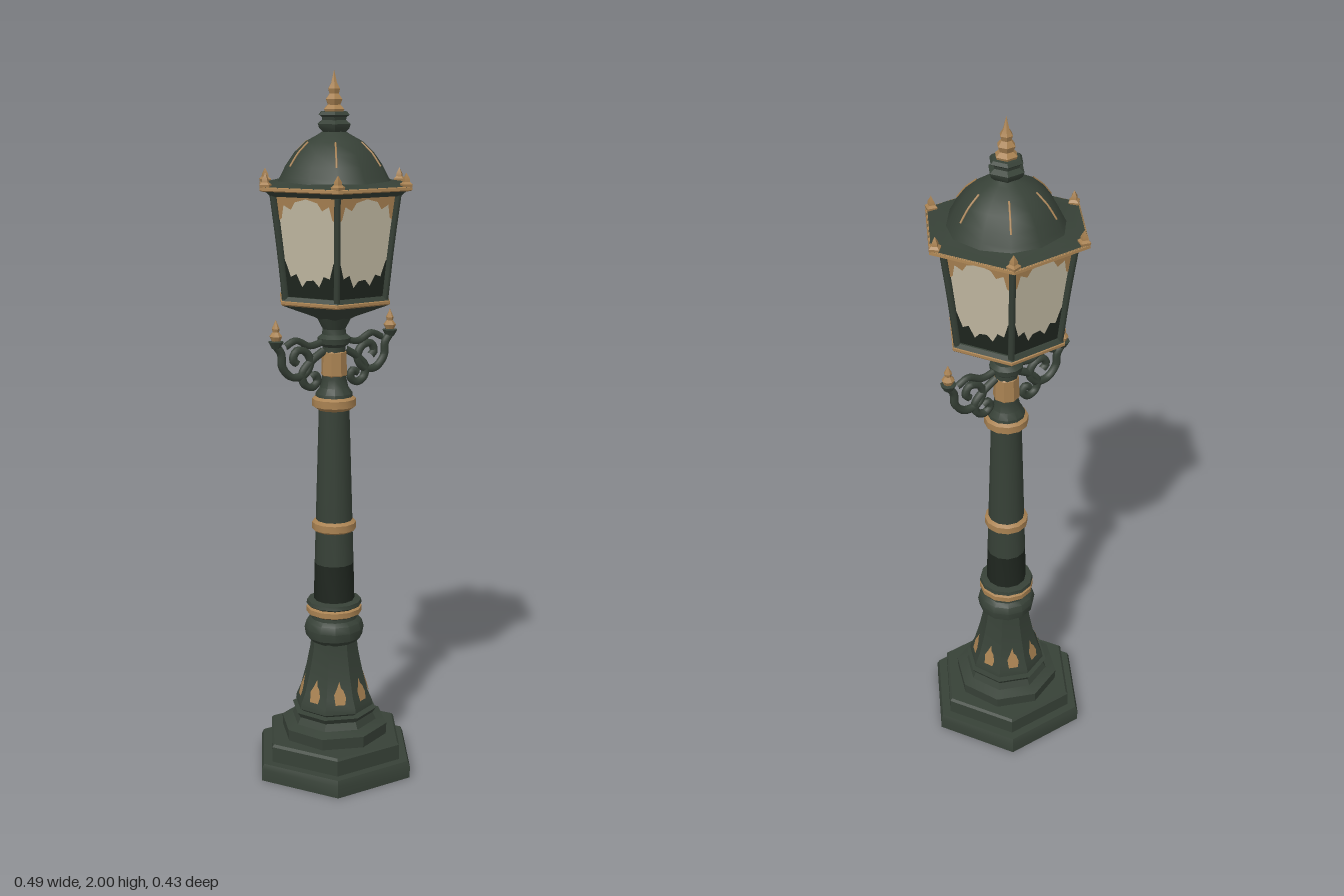
import * as THREE from 'three';
import { toCreasedNormals } from 'three/addons/utils/BufferGeometryUtils.js';

const mat = (name, color, side = THREE.FrontSide) => {
  const m = new THREE.MeshStandardMaterial({ color, side });
  m.name = name;
  return m;
};

export function createModel() {
  const root = new THREE.Group();
  root.name = 'streetLamp';
  const green = mat('green iron', 0x374137);
  const dark = mat('dark iron', 0x1f261f, THREE.DoubleSide);
  const gold = mat('old gold', 0xa98252, THREE.DoubleSide);
  const glass = mat('milky glass', 0xc4bba4, THREE.DoubleSide);

  const add = (name, geo, material, parent = root) => {
    const m = new THREE.Mesh(geo, material);
    m.name = name;
    parent.add(m);
    return m;
  };
  // Turned part from [radius, height] pairs, with a corner on the x axis
  const turned = (name, pts, sides, material, parent = root) => {
    const g = new THREE.LatheGeometry(pts.map(([r, y]) => new THREE.Vector2(r, y)), sides, Math.PI / 2);
    return add(name, toCreasedNormals(g, 0.6), material, parent);
  };
  const ring = (name, y, r, h, sides = 12) => turned(name, [
    [r - 0.015, y - h / 2], [r, y - h / 4], [r, y + h / 4], [r - 0.015, y + h / 2]], sides, gold);
  const tube = (name, pts, r, segs, material, parent = root) => add(name, new THREE.TubeGeometry(
    new THREE.CatmullRomCurve3(pts.map(p => new THREE.Vector3(...p))), segs, r, 6), material, parent);
  const polar = (r, y, a) => [r * Math.cos(a), y, r * Math.sin(a)];

  // Stepped base
  turned('lowerStep', [[0, 0], [0.247, 0], [0.247, 0.035], [0.24, 0.05], [0, 0.05]], 6, green);
  turned('upperStep', [[0.212, 0.05], [0.212, 0.095], [0.205, 0.102], [0, 0.102]], 6, green);
  turned('plinth', [[0.155, 0.1], [0.157, 0.135], [0.125, 0.145], [0.115, 0.165], [0.125, 0.18], [0, 0.185]], 8, green);

  // Bell shaped foot with leaf ornaments on its eight faces
  turned('bellFoot', [[0.1, 0.18], [0.115, 0.19], [0.113, 0.205], [0.1, 0.235], [0.083, 0.3],
    [0.071, 0.36], [0.067, 0.395]], 8, green);
  const leaf = new THREE.Shape([[-0.014, 0], [0.014, 0], [0.018, 0.02], [0.011, 0.042], [0.004, 0.05],
    [0, 0.068], [-0.008, 0.048], [-0.017, 0.03]].map(p => new THREE.Vector2(...p)));
  for (let i = 0; i < 8; i++) {
    const pivot = new THREE.Group();
    pivot.name = 'footLeafGroup';
    pivot.rotation.y = Math.PI / 8 + i * Math.PI / 4;
    root.add(pivot);
    const m = add('footLeaf', new THREE.ShapeGeometry(leaf), gold, pivot);
    m.position.set(0, 0.218, 0.102);
    m.rotation.x = -0.26;
  }
  turned('footCollar', [[0.066, 0.385], [0.082, 0.4], [0.086, 0.425], [0.08, 0.445], [0.068, 0.455],
    [0.067, 0.465], [0.076, 0.475], [0.07, 0.49], [0.08, 0.497], [0.078, 0.508], [0.055, 0.512]], 12, green);
  ring('collarRing', 0.48, 0.08, 0.03);

  // Tapered column
  turned('columnShade', [[0.059, 0.5], [0.056, 0.62]], 12, dark);
  turned('column', [[0.056, 0.62], [0.051, 0.8], [0.043, 1.08]], 12, green);
  ring('middleRing', 0.732, 0.063, 0.04);
  ring('upperRing', 1.092, 0.062, 0.042);
  turned('capital', [[0.053, 1.1], [0.052, 1.118], [0.04, 1.135], [0.034, 1.16], [0.032, 1.25],
    [0.045, 1.26], [0.047, 1.275], [0.034, 1.285], [0.032, 1.3], [0.04, 1.315], [0.05, 1.335]], 12, green);
  turned('neckPanels', [[0.032, 1.165], [0.037, 1.17], [0.035, 1.235], [0.03, 1.24]], 8, gold);

  // Scroll brackets on both sides
  for (const s of [1, -1]) {
    const b = new THREE.Group();
    b.name = s > 0 ? 'leftBracket' : 'rightBracket';
    root.add(b);
    const path = p => p.map(([x, y]) => [s * x, y, 0]);
    tube('outerScroll', path([[0.122, 1.212], [0.134, 1.224], [0.122, 1.248], [0.094, 1.243], [0.078, 1.213],
      [0.097, 1.18], [0.138, 1.176], [0.168, 1.207], [0.172, 1.245], [0.188, 1.268]]), 0.0115, 40, green, b);
    tube('innerScroll', path([[0.078, 1.168], [0.063, 1.176], [0.054, 1.158], [0.073, 1.141],
      [0.098, 1.152], [0.104, 1.183], [0.078, 1.213], [0.035, 1.24]]), 0.0115, 36, green, b);
    tube('topArm', path([[0.03, 1.268], [0.08, 1.258], [0.125, 1.277], [0.16, 1.262]]), 0.01, 16, green, b);
    const cup = turned('bracketCup', [[0, 1.258], [0.012, 1.262], [0.022, 1.28], [0, 1.285]], 8, green, b);
    const tip = turned('bracketFinial', [[0.012, 1.282], [0.018, 1.295], [0.009, 1.307],
      [0.011, 1.316], [0, 1.34]], 8, gold, b);
    cup.position.x = tip.position.x = s * 0.188;
  }

  // Lantern body
  const y0 = 1.392, y1 = 1.685;
  const radius = y => 0.156 + (y - y0) * 0.13;
  turned('lanternBowl', [[0.04, 1.325], [0.065, 1.338], [0.11, 1.355], [0.166, 1.377]], 6, green);
  turned('bowlRim', [[0.166, 1.377], [0.171, 1.381], [0.171, 1.388], [0.165, 1.391]], 6, gold);
  turned('lanternSill', [[0.168, 1.39], [0.16, 1.401], [0, 1.401]], 6, green);

  // Flat shape in (u -1..1, t 0..1) laid onto one tapered lantern face
  const facePlate = (pts, lift) => {
    const g = new THREE.ShapeGeometry(new THREE.Shape(pts.map(p => new THREE.Vector2(...p))));
    const p = g.attributes.position;
    for (let i = 0; i < p.count; i++) {
      const y = y0 + p.getY(i) * (y1 - y0), r = radius(y);
      p.setXYZ(i, p.getX(i) * r / 2, y, r * Math.cos(Math.PI / 6) + lift);
    }
    g.computeVertexNormals();
    return g;
  };
  const pane = facePlate([[-1, 0], [1, 0], [1, 1], [-1, 1]], -0.006);
  const spandrel = facePlate([[-1, 1], [-1, 0.72], [-0.82, 0.76], [-0.72, 0.88], [-0.5, 0.84], [-0.35, 0.91],
    [0, 0.94], [0.35, 0.91], [0.5, 0.84], [0.72, 0.88], [0.82, 0.76], [1, 0.72], [1, 1]], -0.003);
  const foliage = facePlate([[-1, 0], [1, 0], [1, 0.42], [0.85, 0.36], [0.72, 0.22], [0.5, 0.24], [0.32, 0.14],
    [0.12, 0.2], [-0.15, 0.19], [-0.32, 0.13], [-0.5, 0.25], [-0.72, 0.22], [-0.85, 0.36], [-1, 0.42]], -0.003);
  for (let i = 0; i < 6; i++) {
    const face = new THREE.Group();
    face.name = 'lanternFace';
    face.rotation.y = i * Math.PI / 3;
    root.add(face);
    add('glassPane', pane, glass, face);
    add('goldSpandrel', spandrel, gold, face);
    add('darkFoliage', foliage, dark, face);
    const a = i * Math.PI / 3;
    tube('cornerPost', [polar(radius(y0), y0, a), polar(radius(1.54) - 0.002, 1.54, a),
      polar(radius(y1), y1, a)], 0.0095, 6, green);
  }

  // Roof: eave, dome and gold ridge lines
  turned('eaveUnderside', [[0, 1.672], [0.2, 1.672], [0.215, 1.684], [0.23, 1.688]], 6, green);
  turned('eaveTrim', [[0.228, 1.686], [0.234, 1.689], [0.233, 1.696], [0.228, 1.698]], 6, gold);
  turned('eaveTop', [[0.231, 1.697], [0.2, 1.7], [0.165, 1.708], [0.14, 1.715]], 6, green);
  const domeProfile = [[0.167, 1.7], [0.155, 1.72], [0.14, 1.748], [0.115, 1.782], [0.083, 1.811],
    [0.05, 1.828], [0.033, 1.838]];
  const dome = new THREE.LatheGeometry(domeProfile.map(p => new THREE.Vector2(...p)), 12, Math.PI / 2);
  // Draw the face centres in slightly so the dome keeps six soft ridges
  const dp = dome.attributes.position;
  for (let i = 0; i < dp.count; i++) {
    const k = Math.floor(i / domeProfile.length) % 2 ? 0.94 : 1;
    dp.setXYZ(i, dp.getX(i) * k, dp.getY(i), dp.getZ(i) * k);
  }
  add('dome', toCreasedNormals(dome, 0.9), green);
  for (let i = 0; i < 6; i++) {
    const a = i * Math.PI / 3;
    tube('domeRidge', domeProfile.slice(2, 5).map(([r, y]) => polar(r - 0.0005, y, a)), 0.003, 8, gold);
    const f = turned('eaveFinial', [[0.016, 1.69], [0.019, 1.704], [0.011, 1.71], [0.01, 1.718], [0, 1.735]], 4, gold);
    f.position.set(...polar(0.216, 0, a));
    f.rotation.y = -a;
  }

  // Crown and spire
  turned('crown', [[0.03, 1.832], [0.046, 1.846], [0.05, 1.858], [0.036, 1.868], [0.038, 1.876],
    [0.047, 1.882], [0.04, 1.89], [0, 1.892]], 6, green);
  turned('spire', [[0.026, 1.885], [0.031, 1.897], [0.019, 1.908], [0.025, 1.923], [0.014, 1.937],
    [0.018, 1.95], [0.009, 1.965], [0, 2]], 6, gold);

  return root;
}
